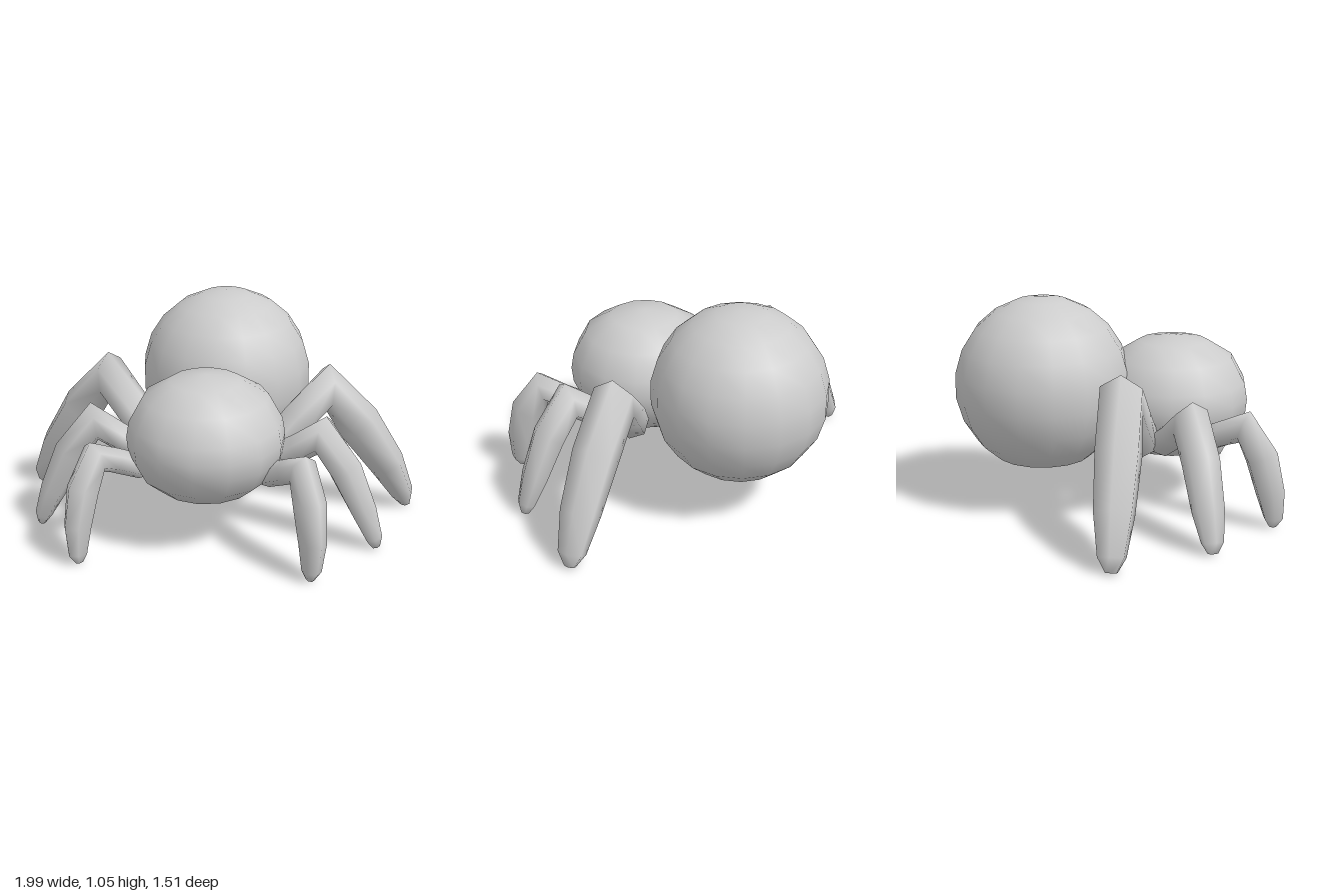
import * as THREE from 'three';
import { mergeVertices } from 'three/addons/utils/BufferGeometryUtils.js';

const SIDES = 6;

// Smooth tube through [x, y, z, radius in leg plane, radius across] stations, closed at both ends
function limb(stations, mirror) {
  const pts = stations.map(s => new THREE.Vector3(s[0], s[1], s[2]));
  const last = pts.length - 1;
  const across = new THREE.Vector3().subVectors(pts[last], pts[0]).setY(0)
    .cross(new THREE.Vector3(0, 1, 0)).normalize();
  const pos = [], idx = [];
  pts.forEach((p, i) => {
    const a = pts[Math.max(i - 1, 0)], b = pts[Math.min(i + 1, last)];
    const dir = new THREE.Vector3();
    if (i > 0) dir.add(p.clone().sub(a).normalize());
    if (i < last) dir.add(b.clone().sub(p).normalize());
    dir.normalize();
    const side = across.clone().addScaledVector(dir, -across.dot(dir)).normalize();
    const up = new THREE.Vector3().crossVectors(side, dir);
    for (let k = 0; k < SIDES; k++) {
      const t = k / SIDES * Math.PI * 2;
      const v = p.clone().addScaledVector(up, Math.cos(t) * stations[i][3])
        .addScaledVector(side, Math.sin(t) * stations[i][4]);
      pos.push(v.x * mirror, v.y, v.z);
    }
  });
  const tri = (a, b, c) => (mirror > 0 ? idx.push(a, b, c) : idx.push(a, c, b));
  for (let i = 0; i < last; i++) {
    for (let k = 0; k < SIDES; k++) {
      const n = (k + 1) % SIDES, a = i * SIDES + k, b = i * SIDES + n;
      tri(a, a + SIDES, b);
      tri(b, a + SIDES, b + SIDES);
    }
  }
  for (let k = 1; k < SIDES - 1; k++) {
    tri(0, k, k + 1);
    tri(last * SIDES, last * SIDES + k + 1, last * SIDES + k);
  }
  const g = new THREE.BufferGeometry();
  g.setAttribute('position', new THREE.Float32BufferAttribute(pos, 3));
  // Make the winding face outward whichever way the frame turned
  g.setIndex(idx);
  const P = i => new THREE.Vector3().fromArray(pos, i * 3);
  let volume = 0;
  for (let i = 0; i < idx.length; i += 3) volume += P(idx[i]).dot(P(idx[i + 1]).cross(P(idx[i + 2])));
  if (volume < 0) g.setIndex(idx.slice().reverse());
  g.computeVertexNormals();
  return g;
}

export function createModel() {
  const model = new THREE.Group();
  model.name = 'spider';
  const grey = new THREE.MeshStandardMaterial({ color: 0xcccccc });
  grey.name = 'grey';
  const add = (geometry, name) => {
    const mesh = new THREE.Mesh(geometry, grey);
    mesh.name = name;
    model.add(mesh);
    return mesh;
  };

  // Abdomen: large ball with a slightly flattened underside
  const ball = new THREE.SphereGeometry(0.435, 16, 11);
  const bp = ball.attributes.position;
  for (let i = 0; i < bp.count; i++) bp.setY(i, Math.max(bp.getY(i), -0.4));
  add(ball, 'abdomen').position.set(0, 0.628, -0.327);

  // Head: dome with a flat belly
  const dome = [[0, 0.28], [0.12, 0.28], [0.23, 0.285], [0.32, 0.36], [0.372, 0.46], [0.38, 0.54],
    [0.366, 0.62], [0.3, 0.74], [0.17, 0.82], [0, 0.85]].map(([r, y]) => new THREE.Vector2(r, y));
  let head = new THREE.LatheGeometry(dome, 14);
  head.deleteAttribute('uv');
  head.deleteAttribute('normal');
  head = mergeVertices(head, 1e-4);
  head.computeVertexNormals();
  add(head, 'head').position.z = 0.33;

  // Legs: root, thigh, knee, shin, ankle, tip
  const legs = {
    front: [[0.3, 0.38, 0.39, 0.06, 0.07], [0.41, 0.45, 0.49, 0.06, 0.065], [0.485, 0.5, 0.575, 0.085, 0.07],
      [0.53, 0.36, 0.65, 0.085, 0.075], [0.55, 0.19, 0.69, 0.075, 0.062], [0.55, 0.06, 0.71, 0.05, 0.045],
      [0.545, 0.015, 0.71, 0.02, 0.02]],
    middle: [[0.29, 0.38, 0.22, 0.07, 0.08], [0.44, 0.47, 0.255, 0.07, 0.08], [0.555, 0.56, 0.295, 0.1, 0.098],
      [0.67, 0.4, 0.32, 0.085, 0.09], [0.765, 0.2, 0.335, 0.065, 0.08], [0.82, 0.065, 0.345, 0.042, 0.055],
      [0.832, 0.017, 0.345, 0.02, 0.025]],
    back: [[0.28, 0.38, 0.13, 0.08, 0.08], [0.41, 0.53, 0.045, 0.09, 0.1], [0.55, 0.68, -0.03, 0.12, 0.115],
      [0.71, 0.48, -0.07, 0.11, 0.115], [0.86, 0.25, -0.115, 0.09, 0.1], [0.945, 0.08, -0.14, 0.058, 0.07],
      [0.965, 0.017, -0.145, 0.025, 0.03]],
  };
  for (const [name, stations] of Object.entries(legs)) {
    add(limb(stations, 1), name + 'LegLeft');
    add(limb(stations, -1), name + 'LegRight');
  }
  return model;
}
